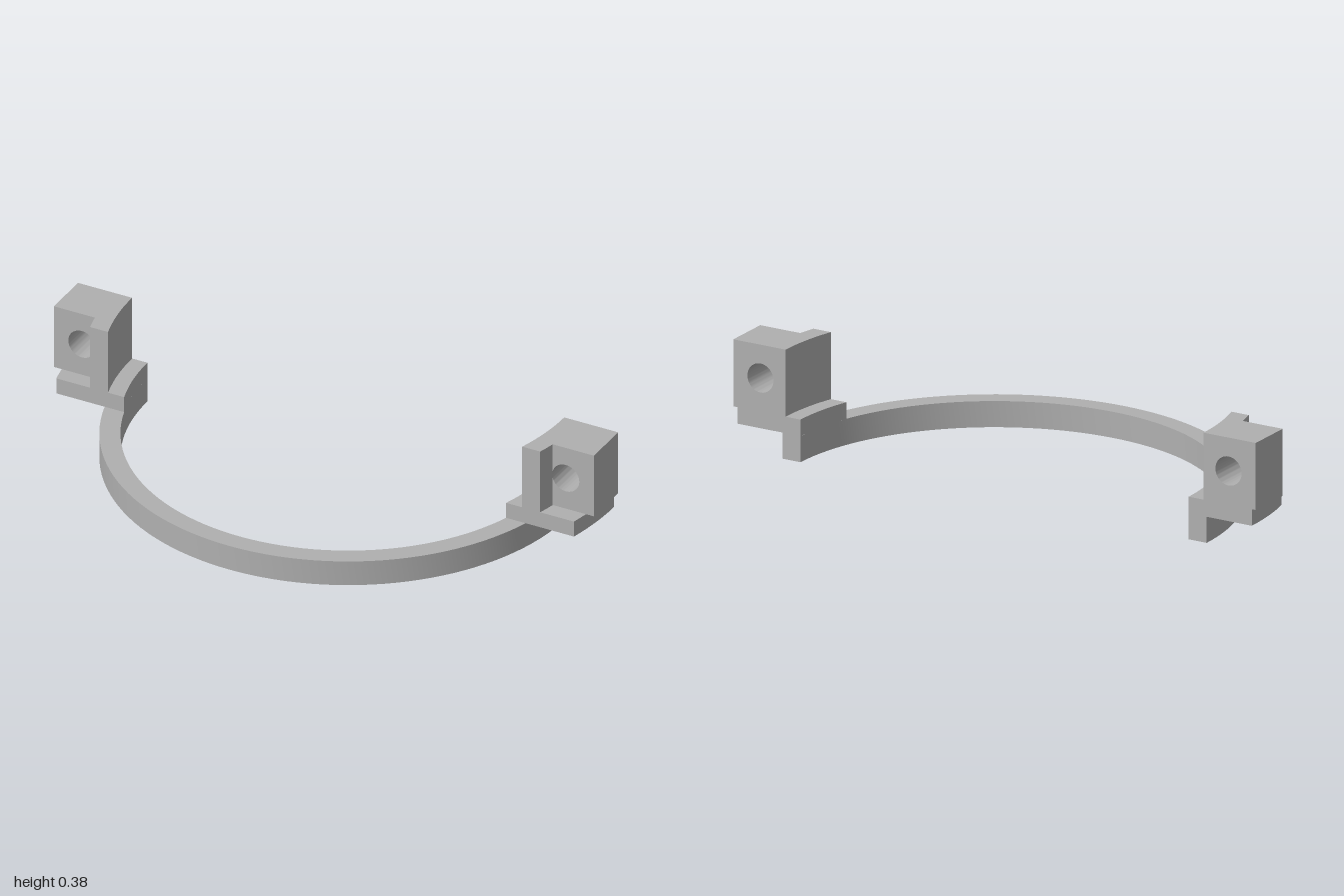
import * as THREE from 'three';
import { toCreasedNormals } from 'three/addons/utils/BufferGeometryUtils.js';

const BACK = -0.406;        // z of the flat back, also the centre of all arcs
const DEPTH = 0.228;        // how far each mount reaches forward from the back
const PLATE = 0.168;        // depth of the drilled block

export function createModel() {
  const grey = new THREE.MeshStandardMaterial({ color: 0xb0b0b0 });
  grey.name = 'grey';
  const model = new THREE.Group();
  model.name = 'halfRingBracket';

  const add = (name, geometry, parent) => {
    const mesh = new THREE.Mesh(toCreasedNormals(geometry, 0.5), grey);
    mesh.name = name;
    parent.add(mesh);
    return mesh;
  };

  // Points [x, forward] along an arc of radius r, between two forward distances
  const arc = (r, from, to, n = 10) => Array.from({ length: n + 1 }, (_, i) => {
    const a = THREE.MathUtils.lerp(Math.asin(from / r), Math.asin(to / r), i / n);
    return [r * Math.cos(a), r * Math.sin(a)];
  });

  // Plan outline raised from y0 to y1; side mirrors it in x
  const slab = (points, y0, y1, side = 1) => {
    const shape = new THREE.Shape(points.map(([x, f]) => new THREE.Vector2(side * x, -f)));
    return new THREE.ExtrudeGeometry(shape, { depth: y1 - y0, bevelEnabled: false })
      .rotateX(-Math.PI / 2).translate(0, y0, BACK);
  };

  // Half ring
  const halfCircle = (r) => Array.from({ length: 65 }, (_, i) => {
    const a = Math.PI * i / 64;
    return [r * Math.cos(a), r * Math.sin(a)];
  });
  add('halfRing', slab([...halfCircle(0.812), ...halfCircle(0.743).reverse()], 0, 0.09), model);

  for (const side of [1, -1]) {
    const mount = new THREE.Group();
    mount.name = side > 0 ? 'leftMount' : 'rightMount';
    model.add(mount);

    // Curved foot sitting on the ring end
    add('foot', slab([...arc(0.743, 0, DEPTH), ...arc(0.985, DEPTH, 0)], 0.09, 0.147, side), mount);

    // Inner wall with a forward rib, curved on both faces
    add('innerWall', slab([
      ...arc(0.8, 0, DEPTH), ...arc(0.864, DEPTH, PLATE, 4), [0.842, PLATE], [0.842, 0],
    ], 0.147, 0.378, side), mount);

    // Block with the bolt hole
    const block = new THREE.Shape([
      [0.842, 0.147], [1, 0.147], [1, 0.378], [0.842, 0.378],
    ].map(([x, y]) => new THREE.Vector2(side * x, y)));
    block.holes.push(new THREE.Path().absarc(side * 0.896, 0.263, 0.05, 0, Math.PI * 2));
    add('drilledBlock', new THREE.ExtrudeGeometry(block, {
      depth: PLATE, bevelEnabled: false, curveSegments: 32,
    }).translate(0, 0, BACK), mount);
  }
  return model;
}
